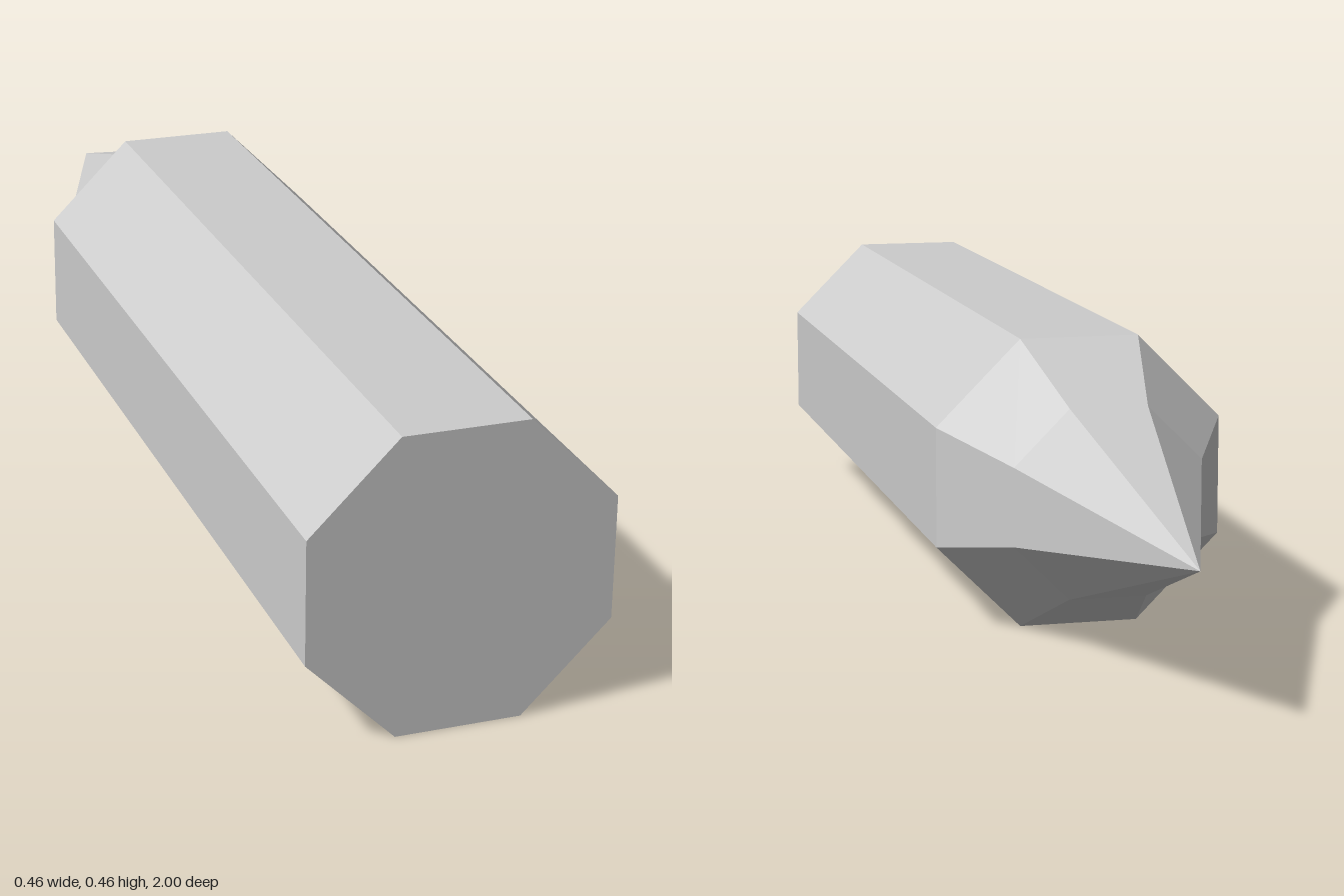
import * as THREE from 'three';

const SIDES = 8;
const APOTHEM = 0.231; // half the width across flats

export function createModel() {
  const group = new THREE.Group();
  group.name = 'pointedOctagonalRod';
  const grey = new THREE.MeshStandardMaterial({ color: 0xcccccc });
  grey.name = 'grey';
  grey.flatShading = true;

  // Octagonal section along z, flats facing up and sideways
  function section(name, zFront, zBack, flatFront, flatBack, open) {
    const k = 1 / Math.cos(Math.PI / SIDES);
    const geometry = new THREE.CylinderGeometry(
      flatBack * k, flatFront * k, zFront - zBack, SIDES, 1, open, Math.PI / SIDES);
    geometry.rotateX(-Math.PI / 2);
    geometry.translate(0, APOTHEM, (zFront + zBack) / 2);
    const mesh = new THREE.Mesh(geometry, grey);
    mesh.name = name;
    group.add(mesh);
  }

  // Straight shaft with a flat front end
  section('shaft', 1, -0.36, APOTHEM, APOTHEM, false);
  // Steeper taper behind the shaft
  section('shoulder', -0.36, -0.535, APOTHEM, 0.148, true);
  // Long slender point
  section('tip', -0.535, -1, 0.148, 0, true);

  return group;
}
